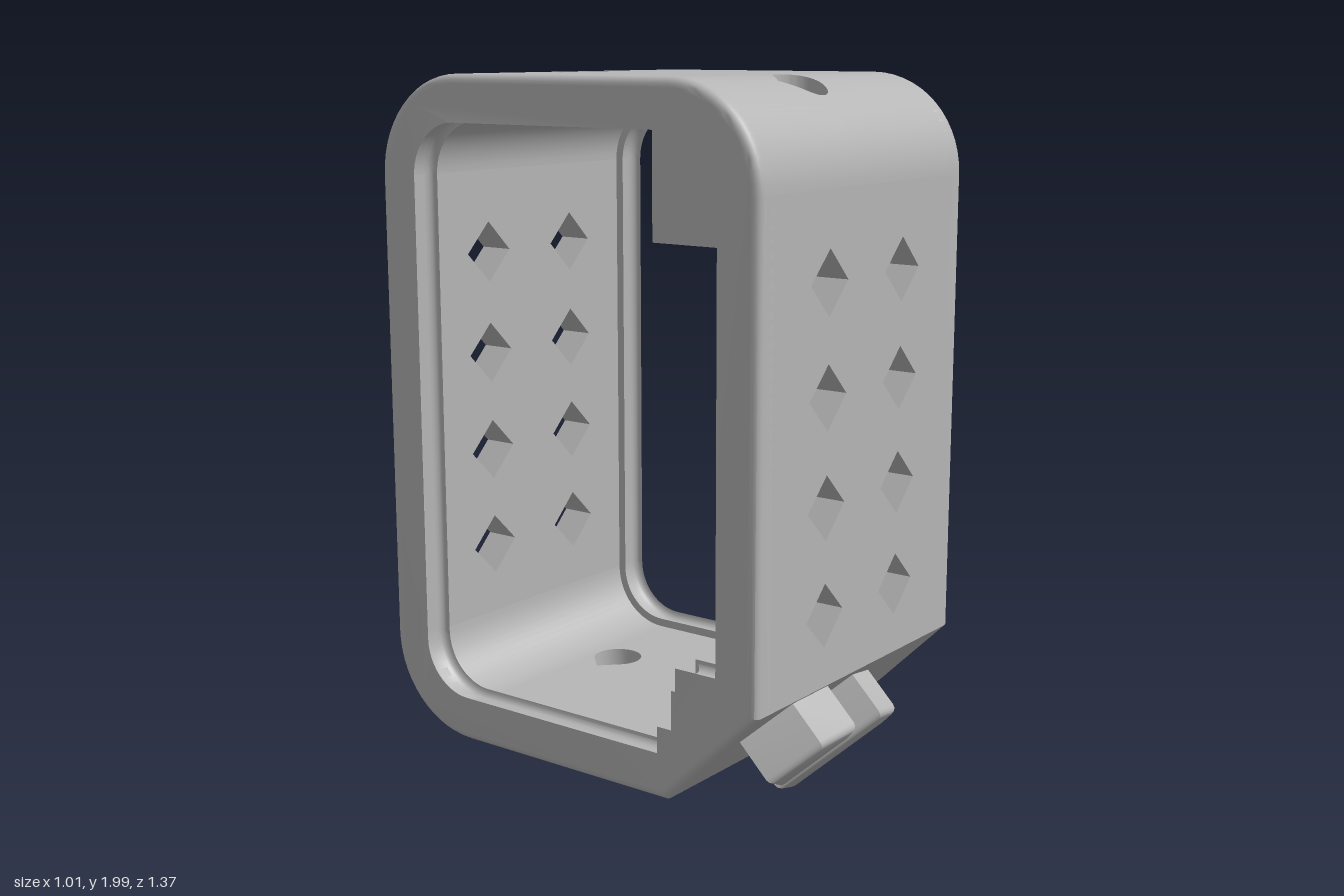
import * as THREE from 'three';
import { toCreasedNormals } from 'three/addons/utils/BufferGeometryUtils.js';

const HALF = 0.475;   // half width of the wall panels
const EDGE = 0.505;   // half width including the rounded rims
const R = 0.073;      // teardrop hole radius
const BORE = 0.036;   // screw bore radius

const V = (x, y) => new THREE.Vector2(x, y);

// points of an arc, angles in degrees
function arc(cx, cy, r, a0, a1, n = 14) {
  return Array.from({ length: n + 1 }, (_, i) => {
    const a = THREE.MathUtils.degToRad(a0 + (a1 - a0) * i / n);
    return V(cx + r * Math.cos(a), cy + r * Math.sin(a));
  });
}

const rect = (x0, x1, y0, y1) => [V(x0, y0), V(x1, y0), V(x1, y1), V(x0, y1)];
const diamond = (x, y, r) => [V(x + r, y), V(x, y + r), V(x - r, y), V(x, y - r)];
const teardrop = (x, z) => [V(x - R * Math.SQRT2, z), ...arc(x, z, R, -135, 135, 24)];

function shapeOf(points, holes = []) {
  const s = new THREE.Shape(points);
  holes.forEach(h => s.holes.push(new THREE.Path(h)));
  return s;
}

export function createModel() {
  const model = new THREE.Group();
  const grey = new THREE.MeshStandardMaterial({ color: 0xb6b6b6, side: THREE.DoubleSide });
  grey.name = 'grey plastic';

  function add(name, geometry) {
    const mesh = new THREE.Mesh(toCreasedNormals(geometry, 0.6), grey);
    mesh.name = name;
    model.add(mesh);
    return mesh;
  }
  function box(name, x, y0, y1, z0, z1) {
    add(name, new THREE.BoxGeometry(2 * x, y1 - y0, z1 - z0)
      .translate(0, (y0 + y1) / 2, (z0 + z1) / 2));
  }
  // extrudes a (z, y) profile along x
  function alongX(points, holes, x0, x1, bevel = 0) {
    const flip = list => list.map(p => V(-p.x, p.y));
    return new THREE.ExtrudeGeometry(shapeOf(flip(points), holes.map(flip)), {
      depth: x1 - x0 - 2 * bevel, bevelEnabled: bevel > 0, bevelThickness: bevel,
      bevelSize: bevel, bevelOffset: -bevel, bevelSegments: 4,
    }).rotateY(Math.PI / 2).translate(x0 + bevel, 0, 0);
  }
  const slab = (points, holes, depth) =>
    new THREE.ExtrudeGeometry(shapeOf(points, holes), { depth, bevelEnabled: false });

  // front and back walls with diamond vents
  const vents = [];
  for (const y of [0.59, 0.885, 1.18, 1.48])
    for (const x of [-0.183, 0.181]) vents.push(diamond(x, y, 0.089));
  add('frontWall', slab(rect(-HALF, HALF, 0.39, 1.72), vents, 0.1).translate(0, 0, 0.5));
  add('backWall', slab(rect(-HALF, HALF, 0.38, 1.72), vents, 0.105).translate(0, 0, -0.69));

  // top and bottom walls with a teardrop screw access hole each
  add('topWall', slab(rect(-HALF, HALF, -0.41, 0.32), [teardrop(-0.045, -0.333)], 0.105)
    .rotateX(Math.PI / 2).translate(0, 2, 0));
  add('bottomWall', slab(rect(-HALF, HALF, -0.41, 0.31), [teardrop(0.093, -0.333)], 0.105)
    .rotateX(Math.PI / 2).translate(0, 0.205, 0));

  // rounded back corners
  for (const [name, y, a] of [['backTopCorner', 1.72, 90], ['backBottomCorner', 0.38, 180]]) {
    const ring = [...arc(-0.41, y, 0.28, a, a + 90), ...arc(-0.41, y, 0.175, a + 90, a)];
    add(name, alongX(ring, [], -HALF, HALF));
  }

  // side rims with rounded edges
  const outer = [V(0.31, 0.1), V(0.6, 0.39), ...arc(0.32, 1.72, 0.28, 0, 90),
    ...arc(-0.41, 1.72, 0.28, 90, 180), ...arc(-0.41, 0.38, 0.28, 180, 270)];
  const inner = [V(0.31, 0.205), V(0.31, 0.28), V(0.37, 0.28), V(0.37, 0.455), V(0.5, 0.455),
    V(0.5, 1.615), V(0.3, 1.615), V(0.3, 1.895),
    ...arc(-0.41, 1.72, 0.175, 90, 180), ...arc(-0.41, 0.38, 0.175, 180, 270)];
  add('leftRim', alongX(outer, [inner], EDGE - 0.09, EDGE, 0.025));
  add('rightRim', alongX(outer, [inner], -EDGE, -EDGE + 0.09, 0.025));

  // curved or sloped skin with a vertical, counterbored teardrop hole
  function boredSkin(name, z0, z1, yAt, cx, cz, floorY, endY) {
    const zs = [];
    for (let i = 0; i <= 24; i++) {
      zs.push(z0 + (z1 - z0) * Math.sin(i / 24 * Math.PI / 2));
      zs.push(cz + R * Math.sin((i / 12 - 1) * Math.PI / 2));
    }
    zs.sort((a, b) => a - b);
    const span = z => {
      const d = Math.min(Math.abs(z - cz), R), w = Math.sqrt(Math.max(0, R * R - d * d));
      return [d < R * Math.SQRT1_2 ? cx - R * Math.SQRT2 + d : cx - w, cx + w];
    };
    const skin = [], lining = [];
    const quad = (out, a, b, c, d) => out.push(...a, ...b, ...c, ...a, ...c, ...d);
    for (let i = 0; i + 1 < zs.length; i++) {
      const [a, b] = [zs[i], zs[i + 1]];
      if (b - a < 1e-6) continue;
      const [ya, yb] = [yAt(a), yAt(b)], [la, ra] = span(a), [lb, rb] = span(b);
      quad(skin, [-HALF, ya, a], [-HALF, yb, b], [lb, yb, b], [la, ya, a]);
      quad(skin, [ra, ya, a], [rb, yb, b], [HALF, yb, b], [HALF, ya, a]);
      if (Math.abs((a + b) / 2 - cz) < R) {
        for (const [xa, xb] of [[la, lb], [ra, rb]])
          quad(lining, [xa, ya, a], [xb, yb, b], [xb, floorY, b], [xa, floorY, a]);
      }
    }
    for (const [part, list] of [['Skin', skin], ['HoleLining', lining]]) {
      const g = new THREE.BufferGeometry();
      g.setAttribute('position', new THREE.Float32BufferAttribute(list, 3));
      g.computeVertexNormals();
      add(name + part, g);
    }
    add(name + 'Counterbore', new THREE.ShapeGeometry(
      shapeOf(teardrop(cx, cz), [arc(cx, cz, BORE, 0, 360, 24)]))
      .rotateX(Math.PI / 2).translate(0, floorY, 0));
    add(name + 'Bore', new THREE.CylinderGeometry(BORE, BORE, Math.abs(endY - floorY), 24, 1, true)
      .translate(cx, (floorY + endY) / 2, cz));
  }
  // horizontal block face with the screw bore
  function boredFace(name, y, z0, z1, cx, cz) {
    add(name, new THREE.ShapeGeometry(
      shapeOf(rect(-HALF, HALF, z0, z1), [arc(cx, cz, BORE, 0, 360, 24)]))
      .rotateX(Math.PI / 2).translate(0, y, 0));
  }
  function backFace(name, z, y0, y1) {
    add(name, new THREE.PlaneGeometry(2 * HALF, y1 - y0).rotateY(Math.PI)
      .translate(0, (y0 + y1) / 2, z));
  }

  // upper front block
  boredSkin('upperBlock', 0.32, 0.6,
    z => 1.72 + Math.sqrt(Math.max(0, 0.0784 - (z - 0.32) ** 2)), -0.045, 0.41, 1.73, 1.615);
  boredFace('upperBlockUnderside', 1.615, 0.3, 0.5, -0.045, 0.41);
  backFace('upperBlockBack', 0.3, 1.615, 1.9);

  // lower front block with sloped face and inner step
  boredSkin('lowerBlock', 0.31, 0.6, z => z - 0.21, 0.093, 0.41, 0.33, 0.455);
  boredFace('lowerBlockTop', 0.455, 0.37, 0.5, 0.093, 0.41);
  backFace('lowerBlockBack', 0.37, 0.2, 0.455);
  box('lowerBlockStep', 0.45, 0.2, 0.39, 0.29, 0.335);
  box('lowerBlockLedge', 0.45, 0.375, 0.39, 0.29, 0.37);

  // two slanted clips standing on the sloped face, outlined in its plane
  const slope = new THREE.Matrix4().makeBasis(
    new THREE.Vector3(1, 0, 0),
    new THREE.Vector3(0, Math.SQRT1_2, Math.SQRT1_2),
    new THREE.Vector3(0, -Math.SQRT1_2, Math.SQRT1_2)).setPosition(0, 0.1, 0.31);
  const clips = {
    rightClip: [V(-0.42, 0.26), V(-0.25, 0.14), V(-0.12, 0.34), V(-0.15, 0.4), V(-0.32, 0.4)],
    leftClip: [V(-0.2, 0.09), V(-0.045, 0), V(0.15, 0.27), V(0.13, 0.34), V(0, 0.38)],
  };
  for (const [name, outline] of Object.entries(clips)) {
    add(name, new THREE.ExtrudeGeometry(shapeOf(outline), {
      depth: 0.125, bevelThickness: 0.02, bevelSize: 0.02, bevelOffset: -0.02, bevelSegments: 3,
    }).translate(0, 0, -0.005).applyMatrix4(slope));
  }
  return model;
}
